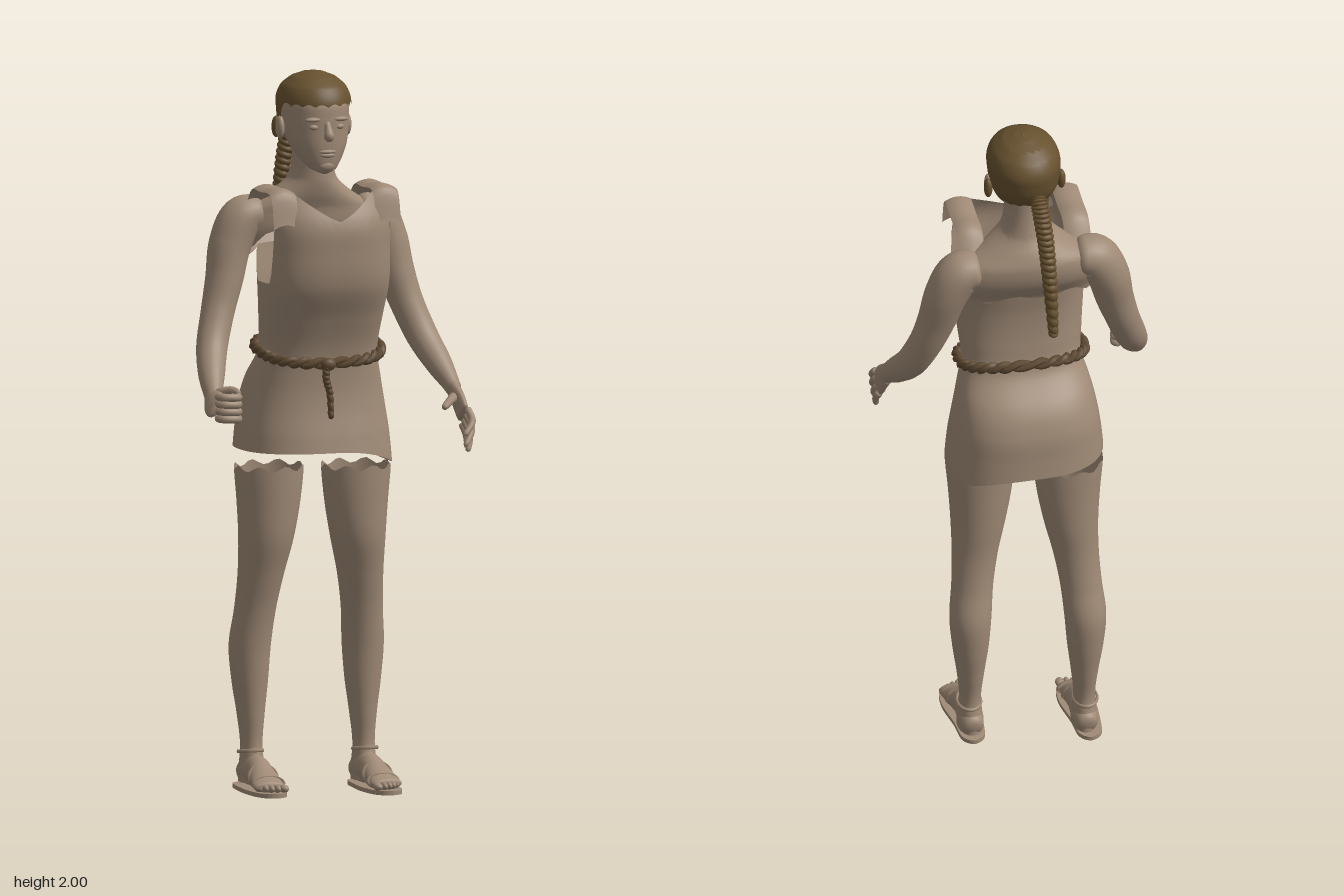
import * as THREE from 'three';
import { ParametricGeometry } from 'three/addons/geometries/ParametricGeometry.js';

const PI = Math.PI, TAU = PI * 2;
const mat = (name, color) => new THREE.MeshStandardMaterial({ name, color, side: THREE.DoubleSide });
const skin = mat('skin and cloth', 0x9f8a76);
const hairBrown = mat('hair brown', 0x67512f);
const beltBrown = mat('belt brown', 0x5f4a33);

// Catmull-Rom blend of row i to i+1, channel by channel
function blend(rows, i, f) {
  const n = rows.length - 1, [a, b, c, d] = [i - 1, i, i + 1, i + 2].map(k => rows[Math.min(n, Math.max(0, k))]);
  return b.map((_, k) => {
    const m0 = (c[k] - a[k]) / 2, m1 = (d[k] - b[k]) / 2, f2 = f * f, f3 = f2 * f;
    return b[k] * (2 * f3 - 3 * f2 + 1) + m0 * (f3 - 2 * f2 + f) + c[k] * (3 * f2 - 2 * f3) + m1 * (f3 - f2);
  });
}
function along(rows, t) {
  const s = Math.min(1, Math.max(0, t)) * (rows.length - 1), i = Math.min(rows.length - 2, Math.floor(s));
  return blend(rows, i, s - i);
}
function atHeight(rows, y) {
  let i = 0;
  while (i < rows.length - 2 && y > rows[i + 1][0]) i++;
  return blend(rows, i, Math.min(1, Math.max(0, (y - rows[i][0]) / (rows[i + 1][0] - rows[i][0]))));
}

// Point on a rounded section; row = [y, centre x, half width, front z, back z], angle 0 is the front
function section(rows, y, a, p, target, grow = 0) {
  const [, cx, rx, front, back] = atHeight(rows, y), cz = (front + back) / 2, rz = (front - back) / 2;
  const pw = v => Math.sign(v) * Math.abs(v) ** p;
  return target.set(cx + (rx + grow) * pw(Math.sin(a)), y, cz + (rz + grow) * pw(Math.cos(a)));
}

// Upright surface through sections, with optional height limits by angle
function loft(rows, { p = 1, bottom = () => rows[0][0], top = () => rows[rows.length - 1][0], slices = 40, stacks = 40, round = false } = {}) {
  return new ParametricGeometry((u, v, target) => {
    const a = u * TAU - PI, k = round ? Math.sin(v * PI / 2) : v;
    section(rows, THREE.MathUtils.lerp(bottom(a), top(a), k), a, p, target);
  }, slices, stacks);
}

// Round-ended limb along points [x, y, z, radius A, radius B]
function limb(points, { ref = [0, 0, 1], cap = 0.08, slices = 16, stacks = 32, twist = 0 } = {}) {
  const rows = points.map(q => q.length < 5 ? [...q, q[3]] : q), r = new THREE.Vector3(...ref);
  return new ParametricGeometry((u, v, target) => {
    const [x, y, z, ra, rb] = along(rows, v), p0 = along(rows, v - 1e-3), p1 = along(rows, v + 1e-3);
    const T = new THREE.Vector3(p1[0] - p0[0], p1[1] - p0[1], p1[2] - p0[2]).normalize();
    const A = r.clone().cross(T).normalize(), B = T.clone().cross(A);
    const e = 1 - Math.min(1, Math.min(v, 1 - v) / cap);
    let s = Math.sqrt(Math.max(0, 1 - e * e)) + 0.02;
    if (twist) s *= 0.86 + 0.22 * Math.abs(Math.sin(v * twist * PI + u * PI));
    target.set(x, y, z).addScaledVector(A, Math.cos(u * TAU) * ra * s).addScaledVector(B, Math.sin(u * TAU) * rb * s);
  }, slices, stacks);
}

export function createModel() {
  const model = new THREE.Group();
  model.name = 'figure';
  const add = (name, geo, material, parent = model) => {
    const m = new THREE.Mesh(geo, material);
    m.name = name;
    parent.add(m);
    return m;
  };
  const ball = (name, x, y, z, sx, sy, sz, material = skin, parent = model) => {
    const m = add(name, new THREE.SphereGeometry(1, 16, 12), material, parent);
    m.position.set(x, y, z);
    m.scale.set(sx, sy, sz);
    return m;
  };

  // Head, face and neck
  add('head', loft([
    [1.722, 0, 0.004, 0.045, 0.03], [1.732, 0, 0.032, 0.06, 0], [1.76, 0, 0.056, 0.066, -0.06], [1.8, 0, 0.077, 0.068, -0.105],
    [1.84, 0, 0.088, 0.067, -0.14], [1.88, 0, 0.092, 0.066, -0.155], [1.92, 0, 0.091, 0.06, -0.155], [1.96, 0, 0.07, 0.03, -0.12],
    [1.98, 0, 0.01, -0.04, -0.06]], { p: 0.9 }), skin);
  add('nose', limb([[0, 1.872, 0.058, 0.009], [0, 1.85, 0.07, 0.01], [0, 1.832, 0.077, 0.014], [0, 1.824, 0.068, 0.012]], { stacks: 16, cap: 0.2 }), skin);
  ball('upperLip', 0, 1.787, 0.066, 0.025, 0.006, 0.009);
  ball('lowerLip', 0, 1.777, 0.065, 0.021, 0.007, 0.009);
  ball('chin', 0, 1.747, 0.055, 0.024, 0.016, 0.012);
  for (const s of [1, -1]) {
    ball('eye', s * 0.036, 1.855, 0.056, 0.015, 0.008, 0.009);
    ball('brow', s * 0.038, 1.876, 0.057, 0.025, 0.007, 0.01);
    ball('ear', s * 0.098, 1.845, -0.05, 0.012, 0.032, 0.02);
    ball('sideHair', s * 0.103, 1.845, -0.068, 0.012, 0.03, 0.016, hairBrown);
  }
  add('neckAndShoulders', loft([
    [1.49, 0, 0.185, -0.05, -0.13], [1.56, 0, 0.2, -0.02, -0.168], [1.62, 0, 0.175, -0.01, -0.178], [1.66, 0, 0.115, 0.005, -0.165],
    [1.7, 0, 0.068, 0.012, -0.14], [1.76, 0, 0.055, 0.008, -0.125], [1.82, 0, 0.054, 0, -0.12]],
    { bottom: a => 1.5 + 0.012 * Math.sin(a * 7) + (Math.cos(a) > 0 ? 0.06 * Math.cos(a) : 0) }), skin);

  // Cropped hair with a scalloped fringe, lower behind the ears
  const nape = a => THREE.MathUtils.smoothstep(Math.abs(a), 1.35, 1.75);
  add('hairCap', loft([
    [1.8, 0, 0.075, 0.04, -0.125], [1.85, 0, 0.094, 0.06, -0.158], [1.9, 0, 0.1, 0.072, -0.17], [1.93, 0, 0.099, 0.068, -0.17],
    [1.96, 0, 0.086, 0.05, -0.153], [1.983, 0, 0.06, 0.016, -0.12], [1.995, 0, 0.03, -0.018, -0.085], [2, 0, 0.002, -0.05, -0.054]],
    { p: 0.95, slices: 96, round: true, bottom: a => 1.91 - 0.1 * nape(a) + 0.008 * Math.abs(Math.sin(a * 9)) }), hairBrown);
  add('braid', limb([[-0.015, 1.86, -0.155, 0.022], [-0.02, 1.83, -0.182, 0.023], [-0.03, 1.73, -0.207, 0.022], [-0.037, 1.6, -0.229, 0.019],
    [-0.043, 1.44, -0.246, 0.013]], { ref: [1, 0, 0], cap: 0.03, stacks: 150, twist: 26 }), hairBrown);

  // Hollow sleeveless tunic: V neck, deep armholes, low back
  const tunicRows = [
    [0.9, 0, 0.218, 0.12, -0.245], [1, 0, 0.211, 0.105, -0.236], [1.08, 0, 0.2, 0.09, -0.228], [1.15, 0, 0.186, 0.085, -0.198],
    [1.23, 0, 0.166, 0.092, -0.128], [1.32, 0, 0.172, 0.122, -0.11], [1.42, 0, 0.181, 0.165, -0.108], [1.52, 0, 0.183, 0.175, -0.122],
    [1.6, 0, 0.185, 0.17, -0.13], [1.7, 0, 0.188, 0.122, -0.13]];
  const step = THREE.MathUtils.smoothstep;
  const tunicTop = a => {
    const b = Math.abs(a);
    if (b < 0.6) return 1.605 + 0.08 * b / 0.6;
    if (b < 1.7) return 1.685 - 0.255 * step(b, 0.98, 1.3);
    return 1.43 + 0.09 * step(b, 1.7, 2.2);
  };
  const hem = a => 0.955 - 0.05 * Math.max(0, Math.sin(a)) ** 2;
  add('tunic', loft(tunicRows, { p: 0.8, bottom: hem, top: tunicTop, slices: 112, stacks: 56 }), skin);

  // Shoulder straps bridging front and back
  const strapPath = [[1.6, 0.145], [1.675, 0.127], [1.695, 0.1], [1.692, 0.03], [1.69, -0.035], [1.64, -0.08]];
  for (const s of [1, -1]) {
    add('shoulderStrap', new ParametricGeometry((u, v, t) => {
      const [y, z] = along(strapPath, v);
      t.set(s * (0.113 + 0.073 * u), y - 0.012 * (2 * u - 1) ** 2, z);
    }, 8, 24), skin);
  }

  // Twisted rope belt with a knot and hanging tail
  for (const k of [0, 1]) {
    const pts = Array.from({ length: 96 }, (_, i) => {
      const a = i / 96 * TAU, w = a * 14 + k * PI;
      const q = section(tunicRows, 1.235 - 0.03 * Math.cos(a), a, 0.8, new THREE.Vector3(), 0.01 + 0.006 * Math.cos(w));
      q.y += 0.008 * Math.sin(w);
      return q;
    });
    add('ropeBelt', new THREE.TubeGeometry(new THREE.CatmullRomCurve3(pts, true), 192, 0.01, 6, true), beltBrown);
  }
  ball('beltKnot', -0.015, 1.203, 0.112, 0.022, 0.018, 0.016, beltBrown);
  add('beltTail', limb([[-0.02, 1.205, 0.115, 0.01], [-0.022, 1.165, 0.113, 0.01], [-0.01, 1.12, 0.11, 0.009], [-0.007, 1.05, 0.112, 0.008]],
    { twist: 10, stacks: 60 }), beltBrown);

  // Arms
  for (const s of [1, -1]) {
    add(s > 0 ? 'leftArm' : 'rightArm', limb([
      [0.13, 1.605, -0.1, 0.045, 0.055], [0.19, 1.59, -0.1, 0.06, 0.062], [0.228, 1.52, -0.095, 0.058, 0.06], [0.25, 1.43, -0.08, 0.052],
      [0.277, 1.34, -0.06, 0.046], [0.308, 1.25, -0.02, 0.043, 0.042], [0.333, 1.18, 0.045, 0.036], [0.347, 1.135, 0.095, 0.025, 0.028],
      [0.354, 1.11, 0.12, 0.02, 0.028]].map(([x, ...q]) => [s * x, ...q]), { slices: 24, stacks: 64, cap: 0.06 }), skin);
  }

  // Open left hand
  add('leftPalm', limb([[0.348, 1.13, 0.1, 0.02, 0.028], [0.357, 1.09, 0.135, 0.016, 0.038], [0.36, 1.05, 0.17, 0.012, 0.038]], { cap: 0.15 }), skin);
  [[1.075, 0.193, 0.335, 1.005, 0.243], [1.058, 0.183, 0.338, 0.975, 0.242], [1.042, 0.168, 0.352, 0.957, 0.225], [1.028, 0.152, 0.362, 0.962, 0.192]]
    .forEach(([y, z, tx, ty, tz]) => add('leftFinger', limb([[0.361, y, z, 0.011], [0.366, (y + ty) / 2, (z + tz) / 2 + 0.004, 0.01], [tx, ty, tz, 0.008]],
      { slices: 10, stacks: 14, cap: 0.15 }), skin));
  add('leftThumb', limb([[0.35, 1.1, 0.13, 0.015], [0.325, 1.095, 0.165, 0.012], [0.287, 1.08, 0.21, 0.009]], { slices: 10, stacks: 14, cap: 0.15 }), skin);

  // Right fist
  add('rightPalm', limb([[-0.35, 1.13, 0.1, 0.02, 0.026], [-0.36, 1.115, 0.14, 0.016, 0.036], [-0.364, 1.11, 0.19, 0.014, 0.036]], { cap: 0.15 }), skin);
  for (let i = 0; i < 4; i++) {
    const y = 1.079 + i * 0.02;
    add('rightFinger', limb([[-0.366, y, 0.175, 0.011], [-0.355, y, 0.203, 0.011], [-0.318, y - 0.002, 0.205, 0.011], [-0.305, y - 0.002, 0.18, 0.01],
      [-0.32, y, 0.163, 0.009]], { ref: [0, 1, 0], slices: 10, stacks: 20, cap: 0.12 }), skin);
  }
  add('rightThumb', limb([[-0.345, 1.14, 0.12, 0.014], [-0.315, 1.15, 0.15, 0.012], [-0.302, 1.145, 0.185, 0.009]], { slices: 10, stacks: 14, cap: 0.15 }), skin);

  // Legs, feet and sandals; the right leg stands slightly further back
  const legRows = [
    [0.02, 0.155, 0.035, -0.01, -0.123], [0.06, 0.155, 0.034, -0.02, -0.118], [0.12, 0.155, 0.03, -0.035, -0.108], [0.2, 0.155, 0.037, -0.033, -0.12],
    [0.3, 0.156, 0.05, -0.027, -0.136], [0.4, 0.156, 0.058, -0.02, -0.142], [0.5, 0.147, 0.058, -0.006, -0.122], [0.6, 0.136, 0.064, 0.018, -0.113],
    [0.7, 0.125, 0.076, 0.044, -0.116], [0.8, 0.119, 0.088, 0.052, -0.118], [0.91, 0.118, 0.098, 0.056, -0.12]];
  const sole = new THREE.Shape(new THREE.SplineCurve([[0.115, -0.07], [0.11, 0.03], [0.125, 0.115], [0.165, 0.14], [0.2, 0.115], [0.208, 0.05], [0.193, -0.04],
    [0.185, -0.11], [0.155, -0.135], [0.124, -0.115], [0.115, -0.07]].map(([x, z]) => new THREE.Vector2(x, -z))).getPoints(50));
  for (const s of [1, -1]) {
    const leg = new THREE.Group(), side = s > 0 ? 'left' : 'right';
    leg.name = side + 'Leg';
    leg.position.z = s > 0 ? 0 : -0.052;
    model.add(leg);
    const flip = rows => rows.map(([x, ...q]) => [s * x, ...q]);
    add(side + 'Shin and thigh', loft(legRows.map(([y, x, ...q]) => [y, s * x, ...q]),
      { stacks: 60, top: a => 0.9 + 0.008 * Math.sin(a * 8) }), skin, leg);
    add(side + 'Foot', limb(flip([[0.155, 0.04, -0.125, 0.026, 0.028], [0.155, 0.05, -0.08, 0.035, 0.04], [0.155, 0.055, -0.02, 0.034, 0.042],
      [0.159, 0.04, 0.04, 0.041, 0.029], [0.162, 0.028, 0.085, 0.044, 0.018], [0.163, 0.026, 0.105, 0.04, 0.013]]),
      { ref: [0, 1, 0], slices: 24, stacks: 40 }), skin, leg);
    [0.128, 0.147, 0.163, 0.177, 0.191].forEach((x, i) =>
      ball('toe', s * x, 0.023, 0.117 - i * i * 0.002, i ? 0.009 : 0.013, 0.011, 0.019, skin, leg));
    const base = add('sandalSole', new THREE.ExtrudeGeometry(sole, { depth: 0.012, bevelEnabled: false }), skin, leg);
    base.geometry.rotateX(-PI / 2);
    if (s < 0) base.geometry.translate(-0.318, 0, 0).scale(1, 1, 1);
    const strap = (name, y, z, rx, ry, tilt) => {
      const m = add(name, new THREE.TorusGeometry(1, 0.12, 6, 32), skin, leg);
      m.position.set(s * 0.158, y, z);
      m.scale.set(rx, ry, 0.05);
      m.rotation.x = tilt;
    };
    strap('ankleStrap', 0.105, -0.07, 0.033, 0.041, PI / 2 - 0.15);
    strap('instepStrap', 0.045, 0.03, 0.041, 0.034, -0.3);
    strap('toeStrap', 0.032, 0.075, 0.044, 0.021, -0.2);
  }
  return model;
}
